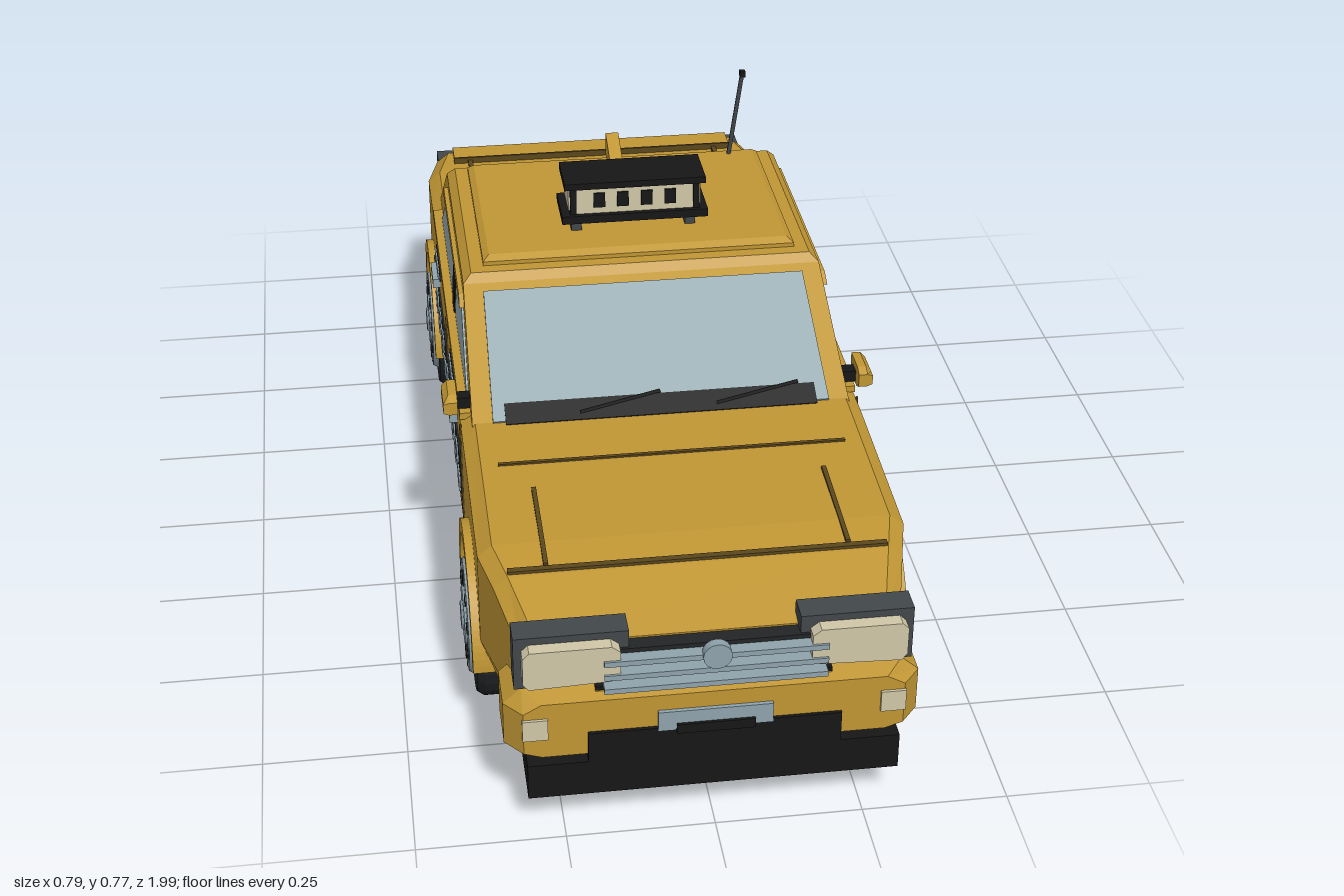
import * as THREE from 'three';

const mat = (name, color) => {
  const m = new THREE.MeshStandardMaterial({ color });
  m.name = name;
  return m;
};

export function createModel() {
  const car = new THREE.Group();
  car.name = 'taxi';
  const yellow = mat('yellow paint', 0xc09634), black = mat('black plastic', 0x161617);
  const glass = mat('window glass', 0x99adb3), chrome = mat('grey metal', 0x8fa3ac);
  const dark = mat('dark grey trim', 0x42474a), cream = mat('cream lamp', 0xd0c7a8);
  const red = mat('red lamp', 0xb4382d), seam = mat('seam brown', 0x5a461c);
  const charcoal = mat('charcoal rubber', 0x222426);

  const add = (name, geo, m, parent = car) => {
    const mesh = new THREE.Mesh(geo, m);
    mesh.name = name;
    parent.add(mesh);
    return mesh;
  };
  // Box given by its extents on each axis
  const box = (name, m, x0, x1, y0, y1, z0, z1) => {
    const g = new THREE.BoxGeometry(x1 - x0, y1 - y0, z1 - z0);
    g.translate((x0 + x1) / 2, (y0 + y1) / 2, (z0 + z1) / 2);
    return add(name, g, m);
  };
  const pair = (name, m, x0, x1, ...rest) => {
    box(name + 'Left', m, x0, x1, ...rest);
    box(name + 'Right', m, -x1, -x0, ...rest);
  };
  // Flat-shaded skin over rings, each counter-clockwise seen from the last ring's end
  const loft = (rings) => {
    const p = [], n = rings[0].length, tri = (...v) => v.forEach((q) => p.push(...q));
    for (let i = 0; i + 1 < rings.length; i++) for (let j = 0; j < n; j++) {
      const k = (j + 1) % n, A = rings[i], B = rings[i + 1];
      tri(A[j], A[k], B[k]);
      tri(A[j], B[k], B[j]);
    }
    const a = rings[0], b = rings[rings.length - 1];
    for (let j = 1; j + 1 < n; j++) { tri(a[0], a[j + 1], a[j]); tri(b[0], b[j], b[j + 1]); }
    const g = new THREE.BufferGeometry();
    g.setAttribute('position', new THREE.Float32BufferAttribute(p, 3));
    g.computeVertexNormals();
    return g;
  };
  const mirrorRing = (half, z) => [
    ...half.map(([x, y]) => [x, y, z]),
    ...half.slice().reverse().map(([x, y]) => [-x, y, z])];
  // Plate on both side walls from a shape in (z, y); wall(y) gives its x
  const sidePlate = (name, m, shape, wall, depth = 0.006) => {
    const g = new THREE.ExtrudeGeometry(shape, { depth, bevelEnabled: false, curveSegments: 20 });
    const q = g.attributes.position;
    for (const s of [1, -1]) {
      const out = [];
      for (let i = 0; i < q.count; i += 3) for (const k of s > 0 ? [2, 1, 0] : [0, 1, 2]) {
        const y = q.getY(i + k);
        out.push(s * (wall(y) + q.getZ(i + k)), y, q.getX(i + k));
      }
      const r = new THREE.BufferGeometry();
      r.setAttribute('position', new THREE.Float32BufferAttribute(out, 3));
      r.computeVertexNormals();
      add(name + (s > 0 ? 'Left' : 'Right'), r, m);
    }
  };
  const poly = (...pts) => new THREE.Shape(pts.map(([z, y]) => new THREE.Vector2(z, y)));
  const rect = (z0, z1, y0, y1) => poly([z0, y0], [z1, y0], [z1, y1], [z0, y1]);

  // Lower body: [z, bottom half width, half width, bottom, shoulder, top]
  const stations = [
    [-0.825, 0.29, 0.32, 0.11, 0.35, 0.365], [-0.795, 0.295, 0.34, 0.09, 0.385, 0.405],
    [-0.69, 0.315, 0.365, 0.07, 0.39, 0.41], [-0.56, 0.315, 0.365, 0.07, 0.395, 0.413],
    [0.38, 0.315, 0.365, 0.07, 0.395, 0.413], [0.72, 0.315, 0.365, 0.07, 0.38, 0.40],
    [0.80, 0.305, 0.345, 0.08, 0.37, 0.39], [0.94, 0.28, 0.31, 0.10, 0.33, 0.355]];
  add('body', loft(stations.map(([z, b, w, y0, ys, yt]) =>
    mirrorRing([[b, y0], [w, 0.205], [w, ys], [w - 0.025, yt]], z))), yellow);

  // Cabin and roof
  const deck = (y, x, zf, zb) => [[x, y, zf], [x, y, zb], [-x, y, zb], [-x, y, zf]];
  add('cabin', loft([deck(0.40, 0.346, 0.38, -0.58), deck(0.555, 0.338, 0.09, -0.385),
    deck(0.57, 0.322, 0.075, -0.375)]), yellow);
  add('roofPanel', loft([deck(0.57, 0.297, 0.05, -0.36), deck(0.578, 0.297, 0.05, -0.36),
    deck(0.586, 0.285, 0.035, -0.352)]), yellow);
  const cabinX = (y) => 0.346 - (y - 0.40) * 0.008 / 0.155;
  const bodyX = () => 0.364;

  // Windscreen and rear window
  const screen = (name, zAt, dz, x0, x1, y0, y1) => {
    const ring = [[x0, y0, zAt(y0)], [x1, y1, zAt(y1)], [-x1, y1, zAt(y1)], [-x0, y0, zAt(y0)]];
    if (dz < 0) ring.reverse();
    add(name, loft([ring, ring.map(([x, y, z]) => [x, y + 0.005, z + dz])]), glass);
  };
  screen('windscreen', (y) => 0.38 - (y - 0.40) * 0.29 / 0.155, 0.003, 0.308, 0.302, 0.412, 0.545);
  screen('rearWindow', (y) => -0.58 + (y - 0.40) * 0.195 / 0.155, -0.003, 0.298, 0.295, 0.418, 0.548);

  // Side windows and trim
  sidePlate('frontWindow', glass, poly([-0.04, 0.417], [0.265, 0.417], [0.10, 0.522], [-0.03, 0.522]), cabinX, 0.004);
  sidePlate('doorPillar', black, poly([-0.098, 0.417], [-0.05, 0.417], [-0.03, 0.52], [-0.098, 0.52]), cabinX);
  sidePlate('rearSideWindow', glass, poly([-0.455, 0.417], [-0.098, 0.417], [-0.098, 0.522], [-0.33, 0.522]), cabinX, 0.004);
  sidePlate('rainGutter', yellow, poly([-0.36, 0.524], [0.125, 0.524], [0.10, 0.54], [-0.35, 0.54]), cabinX, 0.009);
  sidePlate('beltMoulding', yellow, rect(-0.50, 0.32, 0.402, 0.415), cabinX, 0.02);
  for (const z of [-0.065, 0.335])
    sidePlate('doorSeam', seam, rect(z - 0.003, z + 0.003, 0.2, 0.40), bodyX, 0.004);
  sidePlate('sillSeam', seam, rect(-0.33, 0.375, 0.203, 0.209), bodyX, 0.004);

  // Checker bands
  for (const [z0, cols] of [[-0.045, 8], [-0.54, 10]]) {
    const w = 0.045;
    sidePlate('checkerBand', charcoal, rect(z0, z0 + cols * w, 0.237, 0.315), bodyX, 0.005);
    for (let c = 0; c < cols; c++) {
      const y = c % 2 ? 0.242 : 0.276;
      sidePlate('checkerSquare', chrome, rect(z0 + c * w + 0.003, z0 + (c + 1) * w - 0.003, y, y + 0.034), bodyX, 0.008);
    }
  }
  // Door handles, badges and sill details
  for (const z of [0.183, -0.343])
    pair('doorHandle', chrome, 0.36, 0.38, 0.335, 0.354, z - 0.038, z + 0.038);
  sidePlate('frontBadge', charcoal, rect(0.06, 0.21, 0.368, 0.402), bodyX, 0.004);
  for (let i = 0; i < 4; i++)
    sidePlate('badgeBlock', chrome, rect(0.067 + i * 0.035, 0.098 + i * 0.035, 0.373, 0.397), bodyX, 0.007);
  sidePlate('rearBadge', charcoal, rect(-0.37, -0.26, 0.372, 0.402), bodyX, 0.004);
  for (let i = 0; i < 2; i++)
    sidePlate('badgeStripe', chrome, rect(-0.365, -0.265, 0.377 + i * 0.013, 0.384 + i * 0.013), bodyX, 0.007);
  const sillX = (y) => 0.315 + (y - 0.07) * 0.05 / 0.135;
  sidePlate('jackPoint', black, rect(0.27, 0.315, 0.09, 0.105), sillX);
  sidePlate('sillPanel', yellow, rect(-0.31, -0.17, 0.098, 0.125), sillX, 0.008);

  // Wheels and arches
  for (const zc of [0.562, -0.513]) {
    const arch = new THREE.Shape();
    arch.absarc(zc, 0.145, 0.172, 0, Math.PI, false);
    arch.absarc(zc, 0.145, 0.146, Math.PI, 0, true);
    sidePlate('wheelArch', yellow, arch, () => 0.34, 0.04);
    for (const s of [1, -1]) {
      const wheel = new THREE.Group();
      wheel.name = 'wheel';
      wheel.position.set(s * 0.318, 0.145, zc);
      wheel.rotation.z = -s * Math.PI / 2;
      car.add(wheel);
      const tyre = [[0.01, -0.053], [0.135, -0.053], [0.145, -0.04], [0.145, 0.04], [0.136, 0.053], [0.01, 0.053]];
      const tg = new THREE.LatheGeometry(tyre.map(([x, y]) => new THREE.Vector2(x, y)), 32).toNonIndexed();
      tg.computeVertexNormals();
      add('tyre', tg, charcoal, wheel);
      add('rim', new THREE.CylinderGeometry(0.1, 0.107, 0.012, 28), chrome, wheel).position.y = 0.058;
      add('hubRing', new THREE.CylinderGeometry(0.052, 0.056, 0.006, 20), chrome, wheel).position.y = 0.065;
      add('hubCap', new THREE.CylinderGeometry(0.024, 0.03, 0.006, 14), chrome, wheel).position.y = 0.069;
      for (let i = 0; i < 10; i++) {
        const a = i * Math.PI / 5;
        const slot = add('rimSlot', new THREE.BoxGeometry(0.026, 0.004, 0.015), charcoal, wheel);
        slot.position.set(Math.cos(a) * 0.079, 0.0645, Math.sin(a) * 0.079);
        slot.rotation.y = -a;
      }
    }
  }

  // Bumpers
  const bumper = (list) => loft(list.map(([z, d]) => mirrorRing(
    [[0.315 - d, 0.14 + d / 2], [0.345 - d, 0.165], [0.345 - d, 0.245], [0.315 - d, 0.272 - d / 3]], z)));
  add('frontBumper', bumper([[0.86, 0], [0.945, 0], [0.98, 0.03]]), yellow);
  add('rearBumper', bumper([[-0.955, 0.03], [-0.92, 0.01], [-0.82, 0.01]]), yellow);
  box('frontSkirt', black, -0.31, 0.31, 0.075, 0.142, 0.87, 0.985);
  box('frontIntake', black, -0.21, 0.21, 0.14, 0.2, 0.93, 0.986);
  box('rearSkirt', black, -0.30, 0.30, 0.085, 0.155, -0.93, -0.82);
  box('rearInsert', black, -0.2, 0.2, 0.145, 0.175, -0.959, -0.92);
  box('frontPlate', chrome, -0.095, 0.095, 0.195, 0.232, 0.97, 0.987);
  box('frontPlateHolder', black, -0.065, 0.065, 0.19, 0.208, 0.97, 0.992);
  pair('indicator', cream, 0.275, 0.317, 0.194, 0.234, 0.955, 0.985);

  // Front face
  box('noseLip', yellow, -0.195, 0.195, 0.255, 0.274, 0.92, 0.962);
  box('grilleSill', black, -0.195, 0.195, 0.272, 0.279, 0.92, 0.966);
  box('grille', charcoal, -0.18, 0.18, 0.276, 0.352, 0.92, 0.967);
  for (const y of [0.285, 0.312, 0.339]) box('grilleBar', chrome, -0.183, 0.183, y - 0.005, y + 0.005, 0.955, 0.989);
  const disc = add('grilleDisc', new THREE.CylinderGeometry(0.024, 0.024, 0.016, 16), chrome);
  disc.rotation.x = Math.PI / 2;
  disc.position.set(0, 0.341, 0.985);
  pair('headlightHousing', dark, 0.14, 0.327, 0.285, 0.384, 0.915, 0.962);
  for (const s of [1, -1]) {
    const o = [[0.17, 0.303], [0.305, 0.298], [0.314, 0.31], [0.314, 0.36], [0.303, 0.371], [0.17, 0.371], [0.156, 0.36], [0.156, 0.315]];
    const ring = (z) => (s > 0 ? o : o.slice().reverse()).map(([x, y]) => [s * x, y, z]);
    add('headlight', loft([ring(0.95), ring(0.985)]), cream);
  }

  // Rear face
  pair('tailHousing', dark, 0.12, 0.338, 0.285, 0.385, -0.85, -0.80);
  pair('tailLamp', red, 0.14, 0.318, 0.297, 0.37, -0.87, -0.84);
  box('rearPanel', chrome, -0.10, 0.10, 0.305, 0.352, -0.85, -0.81);
  pair('reverseLamp', chrome, 0.085, 0.125, 0.30, 0.345, -0.868, -0.81);
  for (let i = -2; i <= 2; i++) box('rearPanelMark', black, i * 0.03 - 0.011, i * 0.03 + 0.011, 0.315, 0.343, -0.856, -0.848);
  box('rearPlate', chrome, -0.095, 0.095, 0.18, 0.242, -0.965, -0.94);
  box('rearPlateInset', black, -0.075, 0.075, 0.195, 0.227, -0.969, -0.96);
  const pipe = add('exhaust', new THREE.CylinderGeometry(0.024, 0.024, 0.12, 14), chrome);
  pipe.rotation.x = Math.PI / 2;
  pipe.position.set(0.21, 0.13, -0.94);

  // Bonnet and boot lines
  box('bonnetRearSeam', seam, -0.31, 0.31, 0.404, 0.412, 0.487, 0.494);
  box('bonnetFrontSeam', seam, -0.32, 0.32, 0.385, 0.396, 0.783, 0.795);
  for (const s of [1, -1]) {
    const crease = box('bonnetCrease', seam, -0.004, 0.004, -0.005, 0.005, -0.105, 0.105);
    crease.position.set(s * 0.255, 0.4, 0.675);
    crease.rotation.x = 0.06;
  }
  box('bootSeam', seam, -0.31, 0.31, 0.408, 0.415, -0.598, -0.59);
  box('bootLip', yellow, -0.305, 0.305, 0.398, 0.42, -0.79, -0.735);
  box('bootLipSeam', seam, -0.305, 0.305, 0.409, 0.422, -0.735, -0.73);
  pair('bootHinge', seam, 0.265, 0.275, 0.405, 0.416, -0.735, -0.65);

  // Wipers
  const cowl = box('wiperCowl', black, -0.285, 0.285, -0.006, 0.006, -0.022, 0.022);
  cowl.position.set(0, 0.42, 0.346);
  cowl.rotation.x = 0.49;
  for (const [x0, x1] of [[-0.15, 0.0], [0.10, 0.255]]) {
    const path = new THREE.LineCurve3(new THREE.Vector3(x0, 0.422, 0.355), new THREE.Vector3(x1, 0.438, 0.325));
    add('wiper', new THREE.TubeGeometry(path, 1, 0.004, 5), black);
  }

  // Mirrors
  pair('mirrorStem', black, 0.335, 0.375, 0.416, 0.438, 0.28, 0.305);
  for (const s of [1, -1]) {
    const ring = (z, d) => [[0.369, 0.412 + d], [0.385, 0.412 + d], [0.395, 0.424], [0.395, 0.442], [0.385, 0.453 - d], [0.369, 0.453 - d]]
      .map(([x, y]) => [s * x, y, z]);
    const rings = [ring(0.262, 0), ring(0.315, 0), ring(0.332, 0.008)];
    add('mirror', loft(s > 0 ? rings : rings.map((r) => r.reverse())), yellow);
  }

  // Roof sign
  box('signBase', black, -0.14, 0.14, 0.615, 0.631, -0.115, -0.01);
  box('signLamp', cream, -0.117, 0.117, 0.63, 0.686, -0.105, -0.02);
  box('signTop', black, -0.135, 0.135, 0.685, 0.698, -0.113, -0.012);
  pair('signEnd', black, 0.112, 0.124, 0.632, 0.685, -0.109, -0.016);
  pair('signEndLamp', cream, 0.12, 0.127, 0.638, 0.68, -0.102, -0.023);
  pair('signFoot', dark, 0.1, 0.12, 0.58, 0.617, -0.085, -0.04);
  for (const x of [-0.068, -0.023, 0.023, 0.068])
    for (const z of [-0.02, -0.105]) box('signMark', black, x - 0.011, x + 0.011, 0.644, 0.674, z - 0.003, z + 0.003);

  // Roof fin and aerial
  const fin = [[0.013, 0.58], [0.013, 0.63], [-0.013, 0.63], [-0.013, 0.58]];
  add('roofFin', loft([fin.map(([x, y]) => [x, y, -0.375]),
    fin.map(([x, y]) => [x, 0.58 + (y - 0.58) * 0.15, -0.27])]), yellow);
  const foot = new THREE.Vector3(0.235, 0.58, -0.34), tip = new THREE.Vector3(0.26, 0.76, -0.34);
  add('aerial', new THREE.TubeGeometry(new THREE.LineCurve3(foot, tip), 1, 0.0045, 6), dark);
  box('aerialTip', black, 0.255, 0.266, 0.755, 0.767, -0.346, -0.334);
  return car;
}
